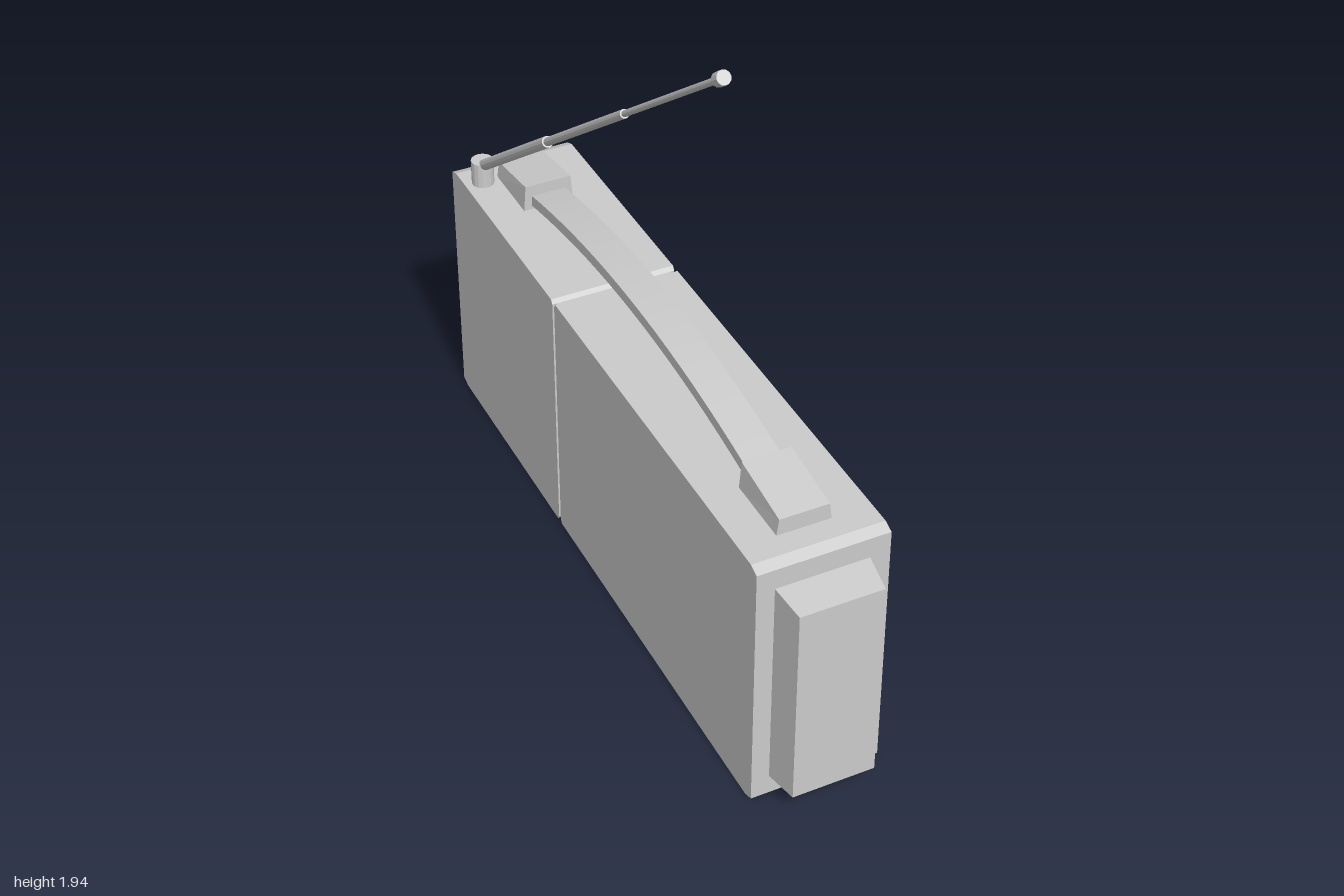
import * as THREE from 'three';

const grey = new THREE.MeshStandardMaterial({ color: 0xcccccc, flatShading: true });

function add(parent, name, geometry, x = 0, y = 0, z = 0) {
  const mesh = new THREE.Mesh(geometry, grey);
  mesh.name = name;
  mesh.position.set(x, y, z);
  parent.add(mesh);
  return mesh;
}

// Outline in side elevation: z0 > z1, with cut corners at the ends (cz long, cy high)
function sideShape(z0, z1, y0, y1, c0 = 0, c1 = 0, cy = 0.015) {
  const pts = [];
  const corner = (z, y, dz, dy) => {
    if (dz === 0) pts.push([z, y]);
    else pts.push([z, y + dy], [z + dz, y]);
  };
  corner(z0, y0, -c0, cy);
  const a = [];
  if (c1) a.push([z1 + c1, y0], [z1, y0 + cy], [z1, y1 - cy], [z1 + c1, y1]);
  else a.push([z1, y0], [z1, y1]);
  pts.push(...a);
  if (c0) pts.push([z0 - c0, y1], [z0, y1 - cy]);
  else pts.push([z0, y1]);
  return new THREE.Shape(pts.map(([z, y]) => new THREE.Vector2(-z, y)));
}

// Extrude a side outline from x0 to x1
function across(shape, x0, x1) {
  const g = new THREE.ExtrudeGeometry(shape, { depth: x1 - x0, bevelEnabled: false, curveSegments: 24 });
  return g.rotateY(Math.PI / 2).translate(x0, 0, 0);
}

// Shrink a box in two directions toward its +axis end
function taper(geometry, axis, half, amounts) {
  const p = geometry.attributes.position;
  for (let i = 0; i < p.count; i++) {
    if (p.getComponent(i, axis) < half - 1e-5) continue;
    for (const [k, d] of amounts) {
      const v = p.getComponent(i, k);
      p.setComponent(i, k, v - Math.sign(v) * d);
    }
  }
  geometry.computeVertexNormals();
  return geometry;
}

// Round knob on the face, pointing to +x
function knob(parent, name, r, x0, x1, y, z) {
  const g = new THREE.CylinderGeometry(r, r, x1 - x0, 24).rotateZ(-Math.PI / 2);
  return add(parent, name, g, (x0 + x1) / 2, y, z);
}

export function createModel() {
  const model = new THREE.Group();
  model.name = 'portableRadio';

  // Case: tuner half with a recessed dial, speaker half, and a core showing in the seam
  const body = new THREE.Group();
  body.name = 'case';
  model.add(body);
  const top = 0.765;
  const tuner = () => sideShape(0.9, -0.274, 0, top, 0.03, 0.008, 0.012);
  add(body, 'tunerCase', across(tuner(), -0.21, 0.105));
  const face = tuner();
  face.holes.push(sideShape(0.875, -0.245, 0.54, 0.735));
  add(body, 'tunerFace', across(face, 0.105, 0.15));
  add(body, 'speakerCase', across(sideShape(-0.286, -1, 0, top, 0.008, 0.03, 0.012), -0.21, 0.15));
  add(body, 'seamCore', new THREE.BoxGeometry(0.336, top - 0.024, 0.03), -0.03, top / 2, -0.28);

  // Dial panel with its window
  const panel = sideShape(0.875, -0.245, 0.54, 0.735);
  panel.holes.push(sideShape(0.835, 0.085, 0.57, 0.705));
  add(model, 'dialPanel', across(panel, 0.105, 0.135));

  // Controls
  knob(model, 'tuningKnob', 0.073, 0.12, 0.16, 0.64, -0.1);
  for (const y of [0.36, 0.163]) knob(model, 'smallKnob', 0.035, 0.14, 0.177, y, -0.1);

  // Domed speaker grille
  const profile = [];
  for (let i = 0; i <= 10; i++) {
    const t = Math.cos((i / 10) * Math.PI / 2);
    profile.push(new THREE.Vector2(0.32 * t, 0.055 * Math.pow(1 - t * t, 0.7)));
  }
  add(model, 'speakerGrille', new THREE.LatheGeometry(profile, 32).rotateZ(-Math.PI / 2), 0.15, 0.39, -0.64);

  // Tapered end cover
  const cover = taper(new THREE.BoxGeometry(0.255, 0.624, 0.1), 2, 0.05, [[0, 0.013], [1, 0.013]]);
  add(model, 'endCover', cover, -0.033, 0.382, 0.95);

  // Handle: two sloped brackets and an arched strap
  const handle = new THREE.Group();
  handle.name = 'handle';
  handle.position.set(-0.035, 0, -0.05);
  model.add(handle);
  for (const side of [1, -1]) {
    const g = taper(new THREE.BoxGeometry(0.15, 0.08, 0.195), 1, 0.04, [[0, 0.007]]);
    const p = g.attributes.position;
    for (let i = 0; i < p.count; i++) {
      if (p.getY(i) > 0) p.setY(i, p.getZ(i) * side > 0 ? 0.012 : 0.042);
    }
    g.computeVertexNormals();
    add(handle, 'handleBracket', g, 0, 0.8, side * 0.758);
  }
  const arch = [], n = 20;
  const rise = (u) => 0.083 * (1 - (u / 0.72) ** 2);
  for (let i = 0; i <= n; i++) {
    const u = -0.72 + (1.44 * i) / n;
    arch.push(new THREE.Vector2(u, 0.762 + rise(u)));
  }
  for (let i = n; i >= 0; i--) arch.push(new THREE.Vector2(arch[i].x, arch[i].y + 0.033));
  add(handle, 'handleStrap', across(new THREE.Shape(arch), -0.05, 0.05));

  // Telescopic aerial: swivel base, three rods and a tip
  const aerial = new THREE.Group();
  aerial.name = 'aerial';
  model.add(aerial);
  const ax = -0.157;
  add(aerial, 'aerialSwivel', new THREE.CylinderGeometry(0.032, 0.032, 0.08, 16), ax, 0.8, -0.896);
  const start = new THREE.Vector3(ax, 0.825, -0.89);
  const end = new THREE.Vector3(ax, 1.92, 0.59);
  const dir = end.clone().sub(start).normalize();
  const rod = (name, a, b, r) => {
    const p = start.clone().lerp(end, a), q = start.clone().lerp(end, b);
    const m = add(aerial, name, new THREE.CylinderGeometry(r, r, p.distanceTo(q), 12));
    m.position.copy(p.add(q).multiplyScalar(0.5));
    m.quaternion.setFromUnitVectors(new THREE.Vector3(0, 1, 0), dir);
  };
  rod('lowerRod', 0, 0.325, 0.016);
  rod('middleRod', 0.32, 0.652, 0.012);
  rod('upperRod', 0.65, 0.99, 0.0085);
  rod('aerialTip', 0.984, 1.002, 0.018);

  return model;
}
